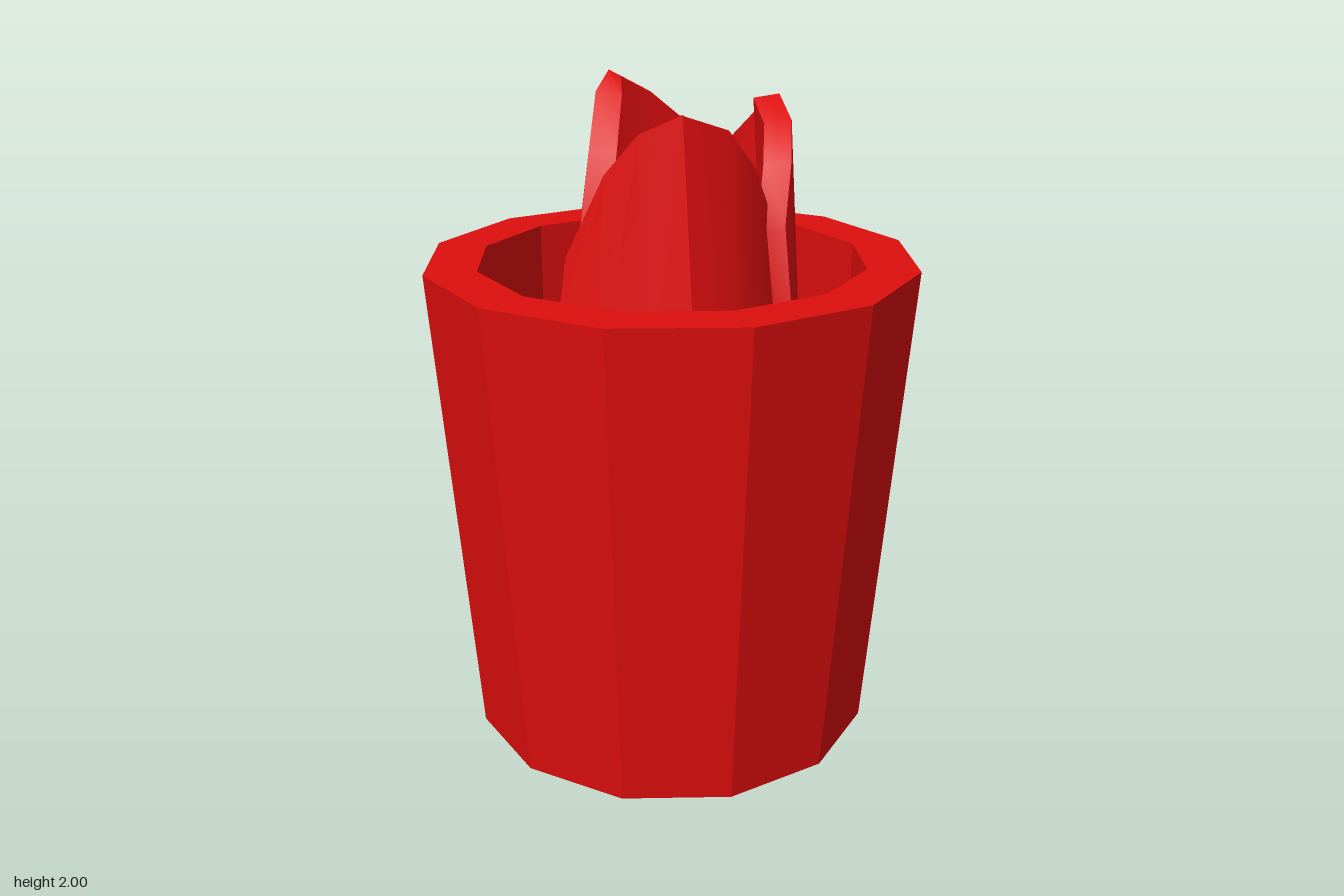
import * as THREE from 'three';
import { toCreasedNormals } from 'three/addons/utils/BufferGeometryUtils.js';

const SOIL_Y = 1.15;
const THICKNESS = 0.08;

// Each station: outer base x, z, outer rim x, z, rim height (left to right seen from outside)
const PETALS = {
  frontPetal: [
    [-0.40, 0.13, -0.34, 0.09, 1.52], [-0.29, 0.24, -0.24, 0.15, 1.76],
    [-0.17, 0.35, -0.16, 0.22, 1.88], [-0.06, 0.45, -0.06, 0.31, 1.94],
    [0.08, 0.42, 0.08, 0.28, 1.89], [0.20, 0.32, 0.18, 0.22, 1.77],
    [0.29, 0.22, 0.26, 0.16, 1.60],
  ],
  leftPetal: [
    [0.30, 0.28, 0.27, 0.23, 1.60], [0.35, 0.18, 0.31, 0.16, 1.77],
    [0.39, 0.05, 0.35, 0.05, 1.87], [0.41, -0.08, 0.355, -0.07, 1.93],
    [0.40, -0.13, 0.35, -0.14, 1.89], [0.25, -0.28, 0.24, -0.24, 1.75],
    [0.09, -0.38, 0.09, -0.29, 1.55],
  ],
  backPetal: [
    [0.20, -0.28, 0.20, -0.20, 1.60], [0.08, -0.32, 0.13, -0.20, 1.82],
    [-0.03, -0.32, 0.00, -0.22, 1.93], [-0.17, -0.31, -0.13, -0.21, 2.00],
    [-0.24, -0.27, -0.19, -0.13, 1.95], [-0.31, -0.10, -0.24, -0.02, 1.80],
    [-0.39, 0.08, -0.29, 0.07, 1.60],
  ],
};

// Closed shell: outer face, rim, inner face and underside swept along the stations
function petalGeometry(stations) {
  const n = stations.length;
  const positions = [];
  stations.forEach(([bx, bz, rx, rz, y], i) => {
    const a = stations[Math.max(i - 1, 0)];
    const b = stations[Math.min(i + 1, n - 1)];
    const t = new THREE.Vector2(b[0] - a[0], b[1] - a[1]).normalize().multiplyScalar(THICKNESS);
    positions.push(
      bx, SOIL_Y, bz,
      rx, y, rz,
      rx + t.y, y - 0.01, rz - t.x,
      bx + t.y, SOIL_Y, bz - t.x,
    );
  });
  const index = [];
  for (let i = 0; i < n - 1; i++) {
    for (let k = 0; k < 4; k++) {
      const a = i * 4 + k, b = i * 4 + (k + 1) % 4;
      index.push(a, a + 4, b + 4, a, b + 4, b);
    }
  }
  // End faces
  const e = (n - 1) * 4;
  index.push(0, 1, 2, 0, 2, 3, e, e + 2, e + 1, e, e + 3, e + 2);
  const geometry = new THREE.BufferGeometry();
  geometry.setAttribute('position', new THREE.Float32BufferAttribute(positions, 3));
  geometry.setIndex(index);
  return toCreasedNormals(geometry, 0.7);
}

export function createModel() {
  const group = new THREE.Group();
  const color = 0xdd0e0e;
  const flat = new THREE.MeshStandardMaterial({ color, flatShading: true });
  const smooth = new THREE.MeshStandardMaterial({ color });
  const add = (name, geometry, material) => {
    const mesh = new THREE.Mesh(geometry, material);
    mesh.name = name;
    group.add(mesh);
    return mesh;
  };

  // Twelve-sided tapered pot with a thick rim
  const profile = [[0, 0], [0.62, 0], [0.735, 1.475], [0.58, 1.475], [0.58, SOIL_Y]]
    .map(([x, y]) => new THREE.Vector2(x, y));
  add('pot', new THREE.LatheGeometry(profile, 12), flat);

  // Soil disc closing the inside
  const soil = add('soil', new THREE.CircleGeometry(0.58, 12), flat);
  soil.rotation.x = -Math.PI / 2;
  soil.position.y = SOIL_Y;

  // Three overlapping petals
  for (const [name, stations] of Object.entries(PETALS)) {
    add(name, petalGeometry(stations), smooth);
  }
  return group;
}
